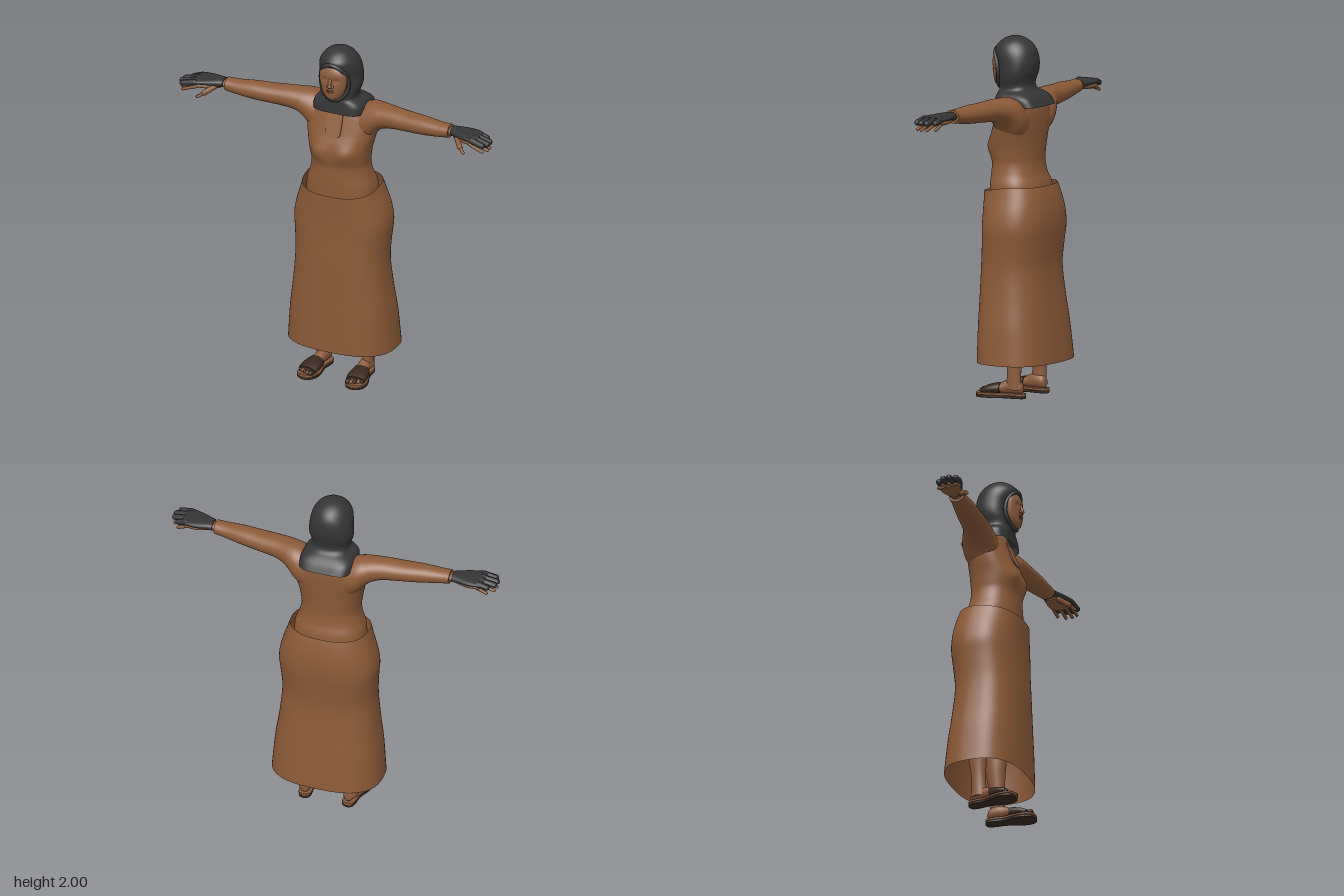
import * as THREE from 'three';

const mat = (name, color, side = THREE.FrontSide) => {
  const m = new THREE.MeshStandardMaterial({ color, side });
  m.name = name;
  return m;
};

// Smooth loft of superellipse rings along an axis.
// Ring: [t, vMin, vMax, wMin, wMax, exponent]; (v, w) follow the axis cyclically: x:(y,z) y:(z,x) z:(x,y)
function loft(axis, rings, { seg = 40, sub = 4, capA = true, capB = true } = {}) {
  const rows = [];
  const at = (i) => rings[Math.max(0, Math.min(rings.length - 1, i))];
  for (let i = 0; i < rings.length - 1; i++) {
    for (let s = 0; s < sub; s++) {
      const u = s / sub;
      rows.push([0, 1, 2, 3, 4, 5].map((k) => {
        const [a, b, c, d] = [-1, 0, 1, 2].map((o) => at(i + o)[k] ?? 2);
        return b + 0.5 * u * (c - a + u * (2 * a - 5 * b + 4 * c - d + u * (3 * (b - c) + d - a)));
      }));
    }
  }
  rows.push([...at(rings.length - 1).slice(0, 5), at(rings.length - 1)[5] ?? 2]);
  const pos = [], idx = [];
  const put = (t, v, w) => pos.push(...(axis === 'x' ? [t, v, w] : axis === 'y' ? [w, t, v] : [v, w, t]));
  const ring = ([t, v0, v1, w0, w1, n]) => {
    for (let j = 0; j < seg; j++) {
      const a = (j / seg) * Math.PI * 2, c = Math.cos(a), s = Math.sin(a);
      put(t, (v0 + v1) / 2 + ((v1 - v0) / 2) * Math.sign(c) * Math.abs(c) ** (2 / n),
        (w0 + w1) / 2 + ((w1 - w0) / 2) * Math.sign(s) * Math.abs(s) ** (2 / n));
    }
  };
  rows.forEach(ring);
  for (let i = 0; i < rows.length - 1; i++) {
    for (let j = 0; j < seg; j++) {
      const a = i * seg + j, b = i * seg + ((j + 1) % seg);
      idx.push(a, b, b + seg, a, b + seg, a + seg);
    }
  }
  const cap = (r, flip) => {
    const base = pos.length / 3;
    ring(r);
    put(r[0], (r[1] + r[2]) / 2, (r[3] + r[4]) / 2);
    for (let j = 0; j < seg; j++) {
      const a = base + j, b = base + ((j + 1) % seg);
      idx.push(base + seg, flip ? b : a, flip ? a : b);
    }
  };
  if (capA) cap(rows[0], true);
  if (capB) cap(rows[rows.length - 1], false);
  const g = new THREE.BufferGeometry();
  g.setAttribute('position', new THREE.Float32BufferAttribute(pos, 3));
  g.setIndex(idx);
  g.computeVertexNormals();
  return g;
}

// Moves every vertex by a rule
function deform(g, rule) {
  const p = g.attributes.position, v = new THREE.Vector3();
  for (let i = 0; i < p.count; i++) {
    rule(v.fromBufferAttribute(p, i));
    p.setXYZ(i, v.x, v.y, v.z);
  }
  g.computeVertexNormals();
  return g;
}

// Mirrored copy across x = 0 for an indexed geometry
function mirror(g) {
  const m = g.clone().scale(-1, 1, 1), ix = m.index.array;
  for (let i = 0; i < ix.length; i += 3) [ix[i], ix[i + 1]] = [ix[i + 1], ix[i]];
  m.computeVertexNormals();
  return m;
}

// Rounded finger between two points
function finger(a, b, r) {
  const A = new THREE.Vector3(...a), B = new THREE.Vector3(...b), d = B.clone().sub(A);
  const g = new THREE.CapsuleGeometry(r, d.length(), 5, 12);
  g.applyQuaternion(new THREE.Quaternion().setFromUnitVectors(new THREE.Vector3(0, 1, 0), d.normalize()));
  return g.translate(...A.add(B).multiplyScalar(0.5).toArray());
}

const ball = (x, y, z, sx, sy, sz) => new THREE.SphereGeometry(1, 20, 14).scale(sx, sy, sz).translate(x, y, z);

export function createModel() {
  const model = new THREE.Group();
  model.name = 'womanInLongSkirt';
  const cloth = mat('brownCloth', 0x8b5a38, THREE.DoubleSide);
  const skin = mat('skin', 0x8a5b3c);
  const black = mat('blackCloth', 0x353535, THREE.DoubleSide);
  const leather = mat('darkLeather', 0x38291f);
  const dark = mat('darkFeatures', 0x4a2f20);
  const lips = mat('lips', 0x74452f);
  const add = (name, g, m) => {
    const mesh = new THREE.Mesh(g, m);
    mesh.name = name;
    model.add(mesh);
  };
  const pair = (name, g, m) => {
    add(name + 'Left', g, m);
    add(name + 'Right', mirror(g), m);
  };
  // Vertical ring: height, half width, front z, back z
  const V = (y, w, f, b, n = 2) => [y, b, f, -w, w, n];

  // Skirt, open at hem and waist, dipping at the front waist
  add('skirt', deform(loft('y', [
    V(0.2, 0.315, 0.22, -0.22, 2.6), V(0.23, 0.313, 0.22, -0.218, 2.6), V(0.4, 0.3, 0.217, -0.2, 2.6),
    V(0.55, 0.28, 0.213, -0.18, 2.6), V(0.72, 0.266, 0.21, -0.165, 2.5), V(0.85, 0.272, 0.203, -0.175, 2.5),
    V(0.95, 0.28, 0.2, -0.185, 2.5), V(1.04, 0.265, 0.2, -0.182, 2.5), V(1.12, 0.24, 0.203, -0.168, 2.5),
    V(1.18, 0.222, 0.205, -0.15, 2.5),
  ], { seg: 64, capA: false, capB: false }), (p) => {
    p.y -= 0.037 * Math.max(0, p.z / 0.2) * THREE.MathUtils.smoothstep(p.y, 0.9, 1.18);
  }), cloth);

  // Blouse body with bust
  add('blouse', deform(loft('y', [
    V(1.08, 0.205, 0.175, -0.13, 2.4), V(1.18, 0.198, 0.176, -0.12, 2.4), V(1.24, 0.178, 0.175, -0.1, 2.3),
    V(1.3, 0.166, 0.174, -0.09, 2.3), V(1.345, 0.17, 0.18, -0.09, 2.3), V(1.4, 0.178, 0.183, -0.092, 2.4),
    V(1.45, 0.19, 0.172, -0.095, 2.4), V(1.5, 0.2, 0.152, -0.098, 2.5), V(1.56, 0.205, 0.132, -0.1, 2.5),
    V(1.62, 0.19, 0.112, -0.095, 2.5), V(1.66, 0.15, 0.095, -0.075, 2.3), V(1.69, 0.08, 0.08, -0.03),
  ], { seg: 64, capA: false }), (p) => {
    if (p.z > 0.05) p.z += 0.017 * Math.exp(-((Math.abs(p.x) - 0.085) ** 2) / 0.003 - (p.y - 1.385) ** 2 / 0.0025);
  }), cloth);

  // Rounded placket below the neckline
  const tab = new THREE.Shape();
  tab.moveTo(-0.047, 0.07).lineTo(-0.047, -0.04).quadraticCurveTo(-0.045, -0.07, 0, -0.072)
    .quadraticCurveTo(0.045, -0.07, 0.047, -0.04).lineTo(0.047, 0.07);
  add('placket', new THREE.ExtrudeGeometry(tab, { depth: 0.008, bevelEnabled: false, curveSegments: 8 })
    .rotateX(-0.34).translate(0, 1.545, 0.134), cloth);

  // Sleeves, held straight out
  pair('sleeve', loft('x', [
    [0.05, 1.42, 1.64, -0.08, 0.1], [0.13, 1.43, 1.665, -0.092, 0.11], [0.18, 1.465, 1.68, -0.09, 0.11],
    [0.22, 1.515, 1.682, -0.075, 0.108], [0.26, 1.543, 1.682, -0.055, 0.106], [0.32, 1.558, 1.681, -0.035, 0.108],
    [0.42, 1.566, 1.676, -0.018, 0.115], [0.52, 1.572, 1.675, 0, 0.12], [0.62, 1.584, 1.668, 0.02, 0.119],
    [0.685, 1.594, 1.668, 0.027, 0.117],
  ]), cloth);
  pair('wrist', loft('x', [[0.66, 1.606, 1.655, 0.04, 0.106], [0.72, 1.61, 1.653, 0.04, 0.108], [0.75, 1.61, 1.65, 0.035, 0.12]]), skin);

  // Hands: dark covering on the back, bare palm, fingers and thumb below
  pair('handCover', loft('x', [
    [0.7, 1.612, 1.66, 0.034, 0.114, 2.3], [0.74, 1.617, 1.66, 0.027, 0.13, 2.4], [0.79, 1.62, 1.658, 0.018, 0.15, 2.5],
    [0.84, 1.622, 1.655, 0.02, 0.165, 2.6], [0.875, 1.622, 1.648, 0.032, 0.165, 2.6],
  ], { seg: 28 }), black);
  pair('palm', loft('x', [
    [0.72, 1.604, 1.64, 0.045, 0.112], [0.79, 1.598, 1.635, 0.03, 0.142, 2.5], [0.86, 1.6, 1.632, 0.035, 0.155, 2.5],
  ], { seg: 24 }), skin);
  [[0.045, 0.9], [0.082, 0.932], [0.117, 0.935], [0.15, 0.918]].forEach(([z, x], i) => {
    pair('fingerCover' + (i + 1), finger([0.85, 1.638, z], [x, 1.622, z + 0.008], 0.0165), black);
    pair('finger' + (i + 1), finger([0.84, 1.612, z], [x, 1.585, z + 0.006], 0.009), skin);
  });
  pair('thumb', finger([0.745, 1.615, 0.115], [0.785, 1.59, 0.162], 0.015), skin);
  pair('thumbTip', finger([0.785, 1.59, 0.162], [0.815, 1.571, 0.184], 0.0095), skin);

  // Headscarf with a square cape over the shoulders
  add('headscarf', loft('y', [
    V(1.62, 0.15, 0.14, -0.133, 4.5), V(1.66, 0.15, 0.136, -0.108, 4.2), V(1.685, 0.136, 0.135, -0.082, 3.4),
    V(1.705, 0.108, 0.137, -0.055, 2.6), V(1.73, 0.106, 0.142, -0.042, 2.3), V(1.765, 0.118, 0.138, -0.046, 2.3),
    V(1.8, 0.124, 0.135, -0.058, 2.3), V(1.85, 0.122, 0.146, -0.067, 2.2), V(1.9, 0.116, 0.168, -0.063, 2.1),
    V(1.935, 0.104, 0.172, -0.05), V(1.965, 0.082, 0.147, -0.025), V(1.988, 0.05, 0.112, 0.012), V(2, 0.006, 0.066, 0.056),
  ], { seg: 56, capA: false }), black);
  const rim = [[0.05, 1.907, 0.163], [0.08, 1.855, 0.135], [0.084, 1.79, 0.125], [0.06, 1.735, 0.137]];
  const rimPath = [[0, 1.925, 0.172], ...rim, [0, 1.708, 0.152], ...rim.map(([x, y, z]) => [-x, y, z]).reverse()];
  add('scarfRim', new THREE.TubeGeometry(new THREE.CatmullRomCurve3(rimPath.map((p) => new THREE.Vector3(...p)), true), 60, 0.011, 8, true), black);

  // Face
  add('face', deform(loft('y', [
    V(1.712, 0.015, 0.166, 0.1), V(1.725, 0.04, 0.18, 0.1), V(1.75, 0.06, 0.185, 0.1), V(1.78, 0.073, 0.186, 0.1),
    V(1.81, 0.08, 0.186, 0.1), V(1.84, 0.083, 0.187, 0.1), V(1.87, 0.08, 0.187, 0.1), V(1.9, 0.062, 0.177, 0.1),
    V(1.918, 0.03, 0.165, 0.1),
  ], { seg: 48 }), (p) => { // eye sockets
    if (p.z > 0.13) p.z -= 0.008 * Math.exp(-((Math.abs(p.x) - 0.034) ** 2) / 0.0003 - (p.y - 1.838) ** 2 / 0.0002);
  }), skin);
  add('noseBridge', finger([0, 1.848, 0.182], [0, 1.812, 0.194], 0.009), skin);
  add('noseTip', ball(0, 1.806, 0.192, 0.013, 0.01, 0.014), skin);
  pair('nostril', ball(0.012, 1.803, 0.186, 0.009, 0.008, 0.009), skin);
  pair('eye', ball(0.034, 1.837, 0.169, 0.014, 0.005, 0.004), dark);
  pair('eyebrow', finger([0.018, 1.856, 0.182], [0.05, 1.859, 0.165], 0.003), dark);
  add('upperLip', ball(0, 1.777, 0.186, 0.024, 0.005, 0.007), lips);
  add('lowerLip', ball(0, 1.768, 0.185, 0.02, 0.006, 0.007), lips);

  // Legs
  pair('leg', loft('y', [
    [0.05, -0.052, 0.04], [0.11, -0.05, 0.034], [0.2, -0.055, 0.032], [0.34, -0.075, 0.04], [0.5, -0.075, 0.055], [0.85, -0.08, 0.1],
  ].map(([y, b, f], i) => [y, b, f, 0.14 - [0.031, 0.03, 0.033, 0.047, 0.052, 0.085][i], 0.14 + [0.031, 0.03, 0.033, 0.047, 0.052, 0.085][i]]),
  { seg: 28 }), skin);

  // Feet and sandals, turned slightly outwards
  const place = (g) => g.rotateY(0.1).translate(0.131, 0, 0);
  const F = (z, w, bottom, top, n) => [z, -w, w, bottom, top, n];
  pair('foot', place(loft('z', [
    F(-0.057, 0.014, 0.035, 0.07), F(-0.045, 0.028, 0.028, 0.095), F(0, 0.033, 0.026, 0.108), F(0.04, 0.034, 0.026, 0.1),
    F(0.08, 0.042, 0.026, 0.08), F(0.13, 0.05, 0.026, 0.062), F(0.175, 0.046, 0.026, 0.05),
  ], { seg: 28 })), skin);
  const sole = (y0, y1, s) => loft('z', [
    [-0.07, 0.012], [-0.058, 0.03], [-0.02, 0.037], [0.04, 0.036], [0.1, 0.052], [0.15, 0.06], [0.19, 0.052], [0.21, 0.034], [0.217, 0.012],
  ].map(([z, w]) => F(z, w * s, y0, y1, 6)), { seg: 32 });
  pair('sandalOutsole', place(sole(0, 0.017, 1)), leather);
  pair('sandalInsole', place(sole(0.015, 0.03, 1.02)), skin);
  pair('sandalUpper', place(loft('z', [
    F(0.07, 0.046, 0.02, 0.086, 2.3), F(0.1, 0.052, 0.02, 0.082, 2.3), F(0.14, 0.057, 0.02, 0.072, 2.3), F(0.172, 0.054, 0.02, 0.058, 2.3),
  ], { seg: 28 })), leather);
  for (let i = 0; i < 5; i++) {
    const x = -0.036 + i * 0.019, r = i ? 0.011 : 0.015;
    pair('toe' + (i + 1), place(ball(x, 0.037, 0.19 - i * i * 0.0015, r, r, 0.02)), i % 2 ? skin : leather);
  }
  return model;
}
